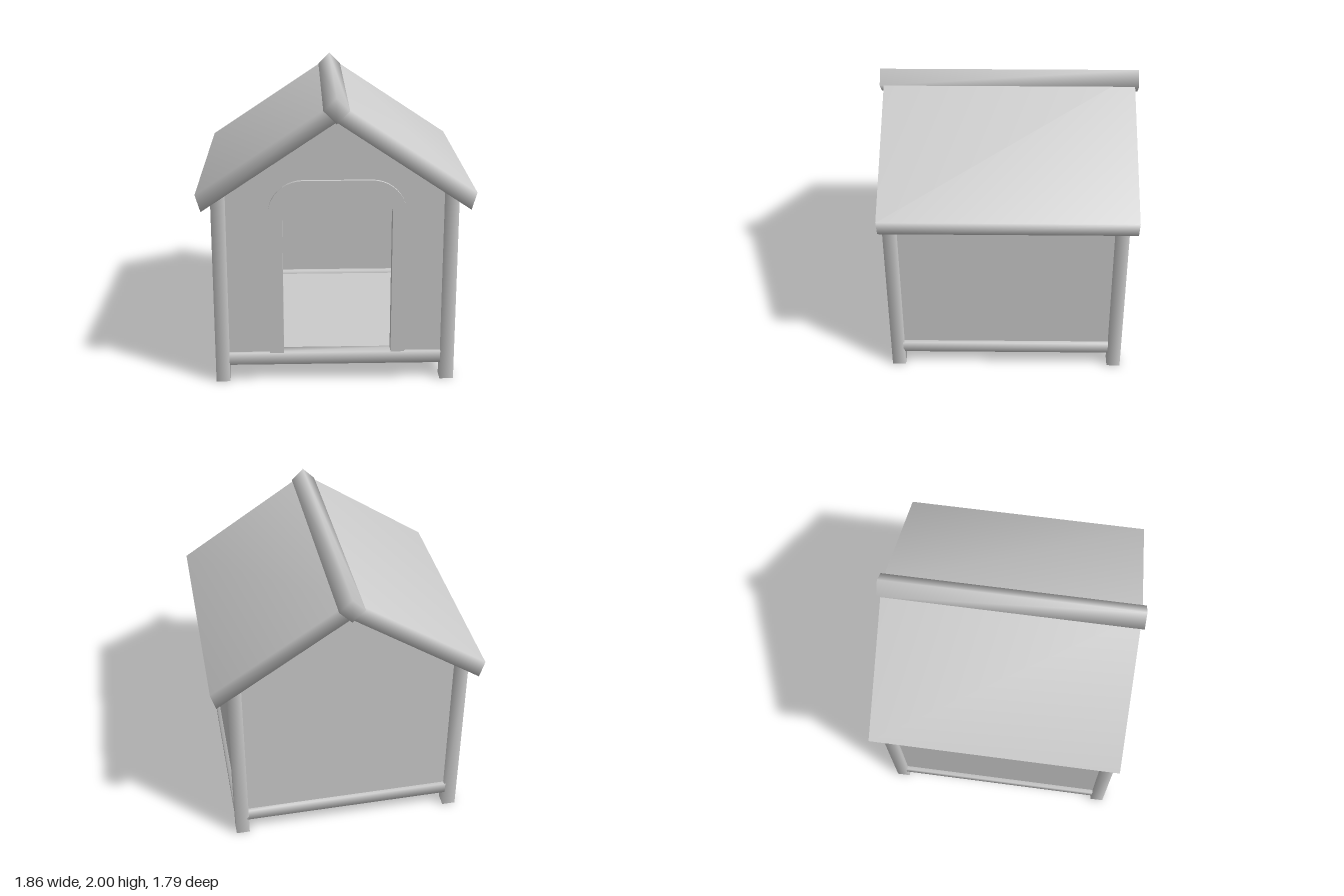
import * as THREE from 'three';
import { mergeVertices } from 'three/addons/utils/BufferGeometryUtils.js';

const material = new THREE.MeshStandardMaterial({ color: 0xcccccc });

// Outer limits of the timber frame and the thickness of its timbers
const X0 = -0.83, X1 = 0.815, Z0 = -0.815, Z1 = 0.845, T = 0.095;
const RAIL_LOW = 0.125, RAIL_TOP = 0.21, INSET = 0.025, PANEL = 0.03;

// Shares corner vertices so area-weighted normals soften the edges
function soften(geometry) {
  geometry.deleteAttribute('normal');
  geometry.deleteAttribute('uv');
  const merged = mergeVertices(geometry, 1e-4);
  merged.computeVertexNormals();
  return merged;
}

function add(group, name, geometry) {
  const mesh = new THREE.Mesh(geometry, material);
  mesh.name = name;
  group.add(mesh);
  return mesh;
}

// Box given by its limits
function box(x0, x1, y0, y1, z0, z1) {
  return new THREE.BoxGeometry(x1 - x0, y1 - y0, z1 - z0)
    .translate((x0 + x1) / 2, (y0 + y1) / 2, (z0 + z1) / 2);
}

// Front-facing shape extruded from z0 to z1
function slab(shape, z0, z1) {
  return new THREE.ExtrudeGeometry(shape, { depth: z1 - z0, bevelEnabled: false, curveSegments: 5 })
    .translate(0, 0, z0);
}

const polygon = (points) => new THREE.Shape(points.map(([x, y]) => new THREE.Vector2(x, y)));

// Doorway outline with rounded top corners
function arch(target, x0, x1, y0, y1, r) {
  target.moveTo(x0, y0);
  target.lineTo(x1, y0);
  target.lineTo(x1, y1 - r);
  target.absarc(x1 - r, y1 - r, r, 0, Math.PI / 2, false);
  target.lineTo(x0 + r, y1);
  target.absarc(x0 + r, y1 - r, r, Math.PI / 2, Math.PI, false);
  target.lineTo(x0, y0);
  return target;
}

// Gable wall reaching just into the roof
const gable = () => polygon([
  [X0 + 0.05, 0.18], [X1 - 0.05, 0.18], [X1 - 0.05, 1.34], [0, 1.87], [X0 + 0.05, 1.34],
]);

export function createModel() {
  const model = new THREE.Group();
  model.name = 'kennel';

  // Corner posts, whose lower ends form the feet
  for (const [sideName, x] of [['right', X0], ['left', X1 - T]]) {
    for (const [endName, z] of [['Back', Z0], ['Front', Z1 - T]]) {
      add(model, `${sideName}${endName}Post`, soften(box(x, x + T, 0, 1.35, z, z + T)));
    }
  }

  // Bottom rails between the posts
  const e = 0.01;
  for (const [name, z] of [['backRail', Z0], ['frontRail', Z1 - T]]) {
    add(model, name, soften(box(X0 + T - e, X1 - T + e, RAIL_LOW, RAIL_TOP, z, z + T)));
  }
  for (const [name, x] of [['rightRail', X0], ['leftRail', X1 - T]]) {
    add(model, name, soften(box(x, x + T, RAIL_LOW, RAIL_TOP, Z0 + T - e, Z1 - T + e)));
  }

  // Floor board
  add(model, 'floor', box(X0 + T - e, X1 - T + e, 0.155, 0.185, Z0 + T - e, Z1 - T + e));

  // Side walls, set back a little from the frame
  add(model, 'rightWall', box(X0 + INSET, X0 + INSET + PANEL, 0.18, 1.33, Z0 + 0.05, Z1 - 0.05));
  add(model, 'leftWall', box(X1 - INSET - PANEL, X1 - INSET, 0.18, 1.33, Z0 + 0.05, Z1 - 0.05));

  // Back wall, and front wall with the doorway cut out
  add(model, 'backWall', slab(gable(), Z0 + INSET, Z0 + INSET + PANEL));
  const front = gable();
  front.holes.push(arch(new THREE.Path(), -0.4, 0.415, 0.2, 1.39, 0.19));
  add(model, 'frontWall', slab(front, Z1 - INSET - PANEL, Z1 - INSET));

  // Door frame: an arched band open at the bottom
  const band = new THREE.Shape();
  const [ox0, ox1, oy, or] = [-0.455, 0.47, 1.44, 0.235];
  const [ix0, ix1, iy, ir] = [-0.36, 0.375, 1.345, 0.14];
  band.moveTo(ix1, RAIL_TOP);
  band.lineTo(ox1, RAIL_TOP);
  band.lineTo(ox1, oy - or);
  band.absarc(ox1 - or, oy - or, or, 0, Math.PI / 2, false);
  band.absarc(ox0 + or, oy - or, or, Math.PI / 2, Math.PI, false);
  band.lineTo(ox0, RAIL_TOP);
  band.lineTo(ix0, RAIL_TOP);
  band.lineTo(ix0, iy - ir);
  band.absarc(ix0 + ir, iy - ir, ir, Math.PI, Math.PI / 2, true);
  band.absarc(ix1 - ir, iy - ir, ir, Math.PI / 2, 0, true);
  band.lineTo(ix1, RAIL_TOP);
  add(model, 'doorFrame', slab(band, Z1 - 0.085, Z1 - 0.002));

  // Two sloping roof panels
  for (const [name, s] of [['rightRoof', -1], ['leftRoof', 1]]) {
    const shape = polygon([[0, 1.835], [s * 0.893, 1.24], [s * 0.928, 1.357], [0, 1.972]]);
    add(model, name, soften(slab(shape, -0.865, 0.865)));
  }

  // Square ridge beam turned on its corner
  const ridge = polygon([[0, 1.83], [0.086, 1.915], [0, 2], [-0.086, 1.915]]);
  add(model, 'ridgeBeam', soften(slab(ridge, -0.893, 0.893)));

  return model;
}
